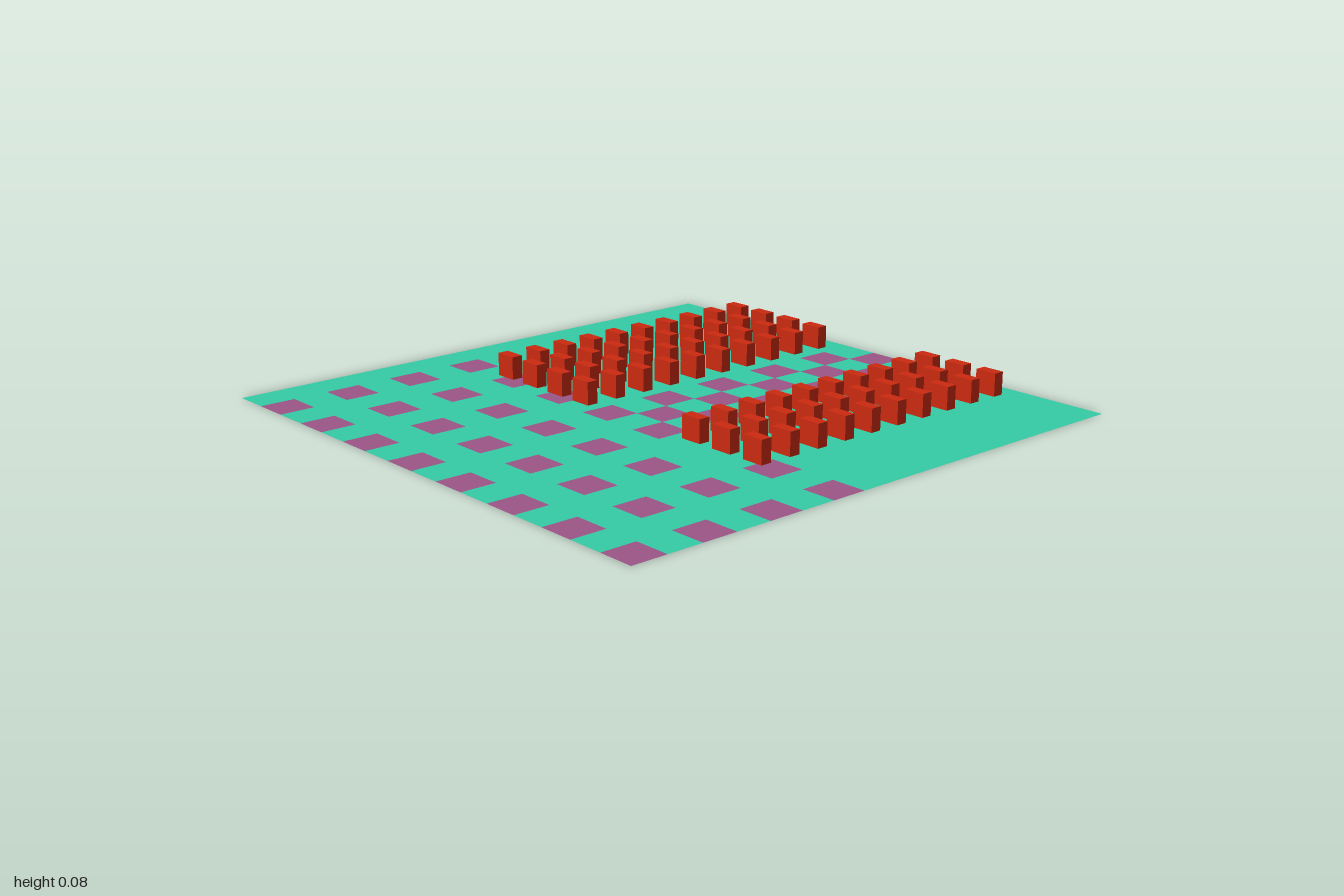
import * as THREE from 'three';
import { mergeGeometries } from 'three/addons/utils/BufferGeometryUtils.js';

const CELLS = 16;
const TILE = 2 / CELLS;

// Which floor cells carry the accent colour
function isAccent(col, row) {
  if (col <= 6) return col % 2 === 0 && row % 2 === 1 && !(col === 6 && row === 11);
  if (row === 8) return col % 2 === 1;              // middle of the aisle
  return (row === 7 || row === 9) && col % 2 === 0; // edges of the aisle
}

export function createModel() {
  const model = new THREE.Group();
  const floorMaterial = (color) => new THREE.MeshStandardMaterial({ color, side: THREE.DoubleSide });

  // Floor of square tiles, merged by colour
  const plain = [];
  const accent = [];
  for (let row = 0; row < CELLS; row++) {
    for (let col = 0; col < CELLS; col++) {
      const tile = new THREE.PlaneGeometry(TILE, TILE);
      tile.rotateX(-Math.PI / 2);
      tile.translate(-1 + (col + 0.5) * TILE, 0, -1 + (row + 0.5) * TILE);
      (isAccent(col, row) ? accent : plain).push(tile);
    }
  }
  const floor = new THREE.Group();
  floor.name = 'floor';
  const plainTiles = new THREE.Mesh(mergeGeometries(plain), floorMaterial(0x36cca6));
  plainTiles.name = 'plainTiles';
  const accentTiles = new THREE.Mesh(mergeGeometries(accent), floorMaterial(0x9b5586));
  accentTiles.name = 'accentTiles';
  floor.add(plainTiles, accentTiles);
  model.add(floor);

  // Two blocks of upright boxes on either side of the aisle
  const boxGeometry = new THREE.BoxGeometry(0.04, 0.08, 0.08);
  const boxMaterial = new THREE.MeshStandardMaterial({ color: 0xcc2a10 });
  function addBlock(name, firstZ, rows) {
    const block = new THREE.Group();
    block.name = name;
    for (let r = 0; r < rows; r++) {
      for (let c = 0; c < 10; c++) {
        const box = new THREE.Mesh(boxGeometry, boxMaterial);
        box.name = 'box';
        // Lifted a hair so the underside does not fight with the floor
        box.position.set(-0.173 + c * 0.12, 0.041, firstZ + r * 0.1362);
        block.add(box);
      }
    }
    model.add(block);
  }
  addBlock('backBoxes', -0.617, 4);
  addBlock('frontBoxes', 0.335, 3);

  return model;
}
